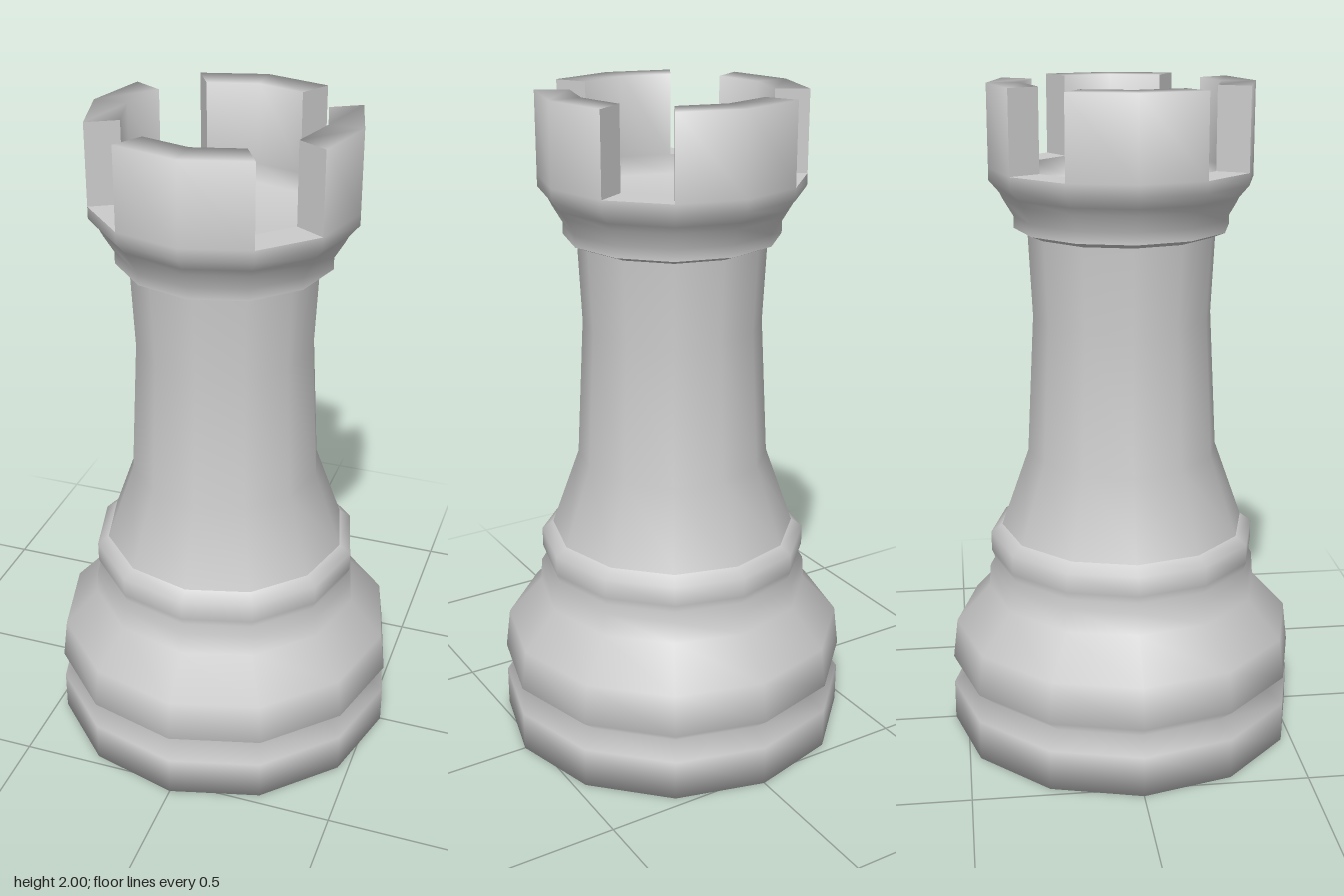
import * as THREE from 'three';

const SIDES = 12;
const material = new THREE.MeshStandardMaterial({ color: 0xcccccc });

// Smooth-shaded turned part; the profile lists [radius, height]
function turned(name, profile, start = 0, length = Math.PI * 2, segments = SIDES) {
  const points = profile.map(([r, y]) => new THREE.Vector2(r, y));
  const mesh = new THREE.Mesh(new THREE.LatheGeometry(points, segments, start, length), material);
  mesh.name = name;
  return mesh;
}

export function createModel() {
  const group = new THREE.Group();
  group.name = 'rook';

  // Body, from the underside of the foot up to the crown
  group.add(turned('base', [
    [0, 0], [0.54, 0], [0.54, 0.125], [0.48, 0.165], [0.54, 0.215], [0.525, 0.34],
    [0.42, 0.455], [0.415, 0.525], [0.4, 0.55], [0.41, 0.575], [0.41, 0.635], [0.375, 0.66],
  ]));
  group.add(turned('shaft', [
    [0.375, 0.66], [0.29, 0.9], [0.268, 1.32], [0.28, 1.575],
  ]));
  group.add(turned('collarUnderside', [[0.27, 1.565], [0.32, 1.585]]));
  group.add(turned('collar', [
    [0.32, 1.585], [0.32, 1.62], [0.35, 1.67], [0.36, 1.69], [0.39, 1.725], [0.39, 1.76],
  ]));

  // Rim between the battlements and the sunken floor inside
  const outer = 0.39, inner = 0.29, low = 1.76, top = 2;
  group.add(turned('notchFloor', [[outer, low], [inner, low]]));
  group.add(turned('crownFloor', [[inner, low], [inner, 1.7], [0, 1.7]]));

  // Four battlements, each two sides wide, with one side left open between them
  for (let i = 0; i < 4; i++) {
    const battlement = new THREE.Group();
    battlement.name = 'battlement' + (i + 1);
    battlement.add(turned('battlementWall',
      [[outer, low], [outer, top], [inner, top], [inner, low]], -Math.PI / 6, Math.PI / 3, 2));
    for (const end of [-1, 1]) {
      const cap = new THREE.PlaneGeometry(outer - inner, top - low);
      if (end > 0) cap.rotateY(Math.PI);
      cap.translate((outer + inner) / 2, (top + low) / 2, 0);
      cap.rotateY(-Math.PI / 2 + end * Math.PI / 6);
      const mesh = new THREE.Mesh(cap, material);
      mesh.name = 'battlementEnd';
      battlement.add(mesh);
    }
    battlement.rotation.y = i * Math.PI / 2;
    group.add(battlement);
  }
  return group;
}
